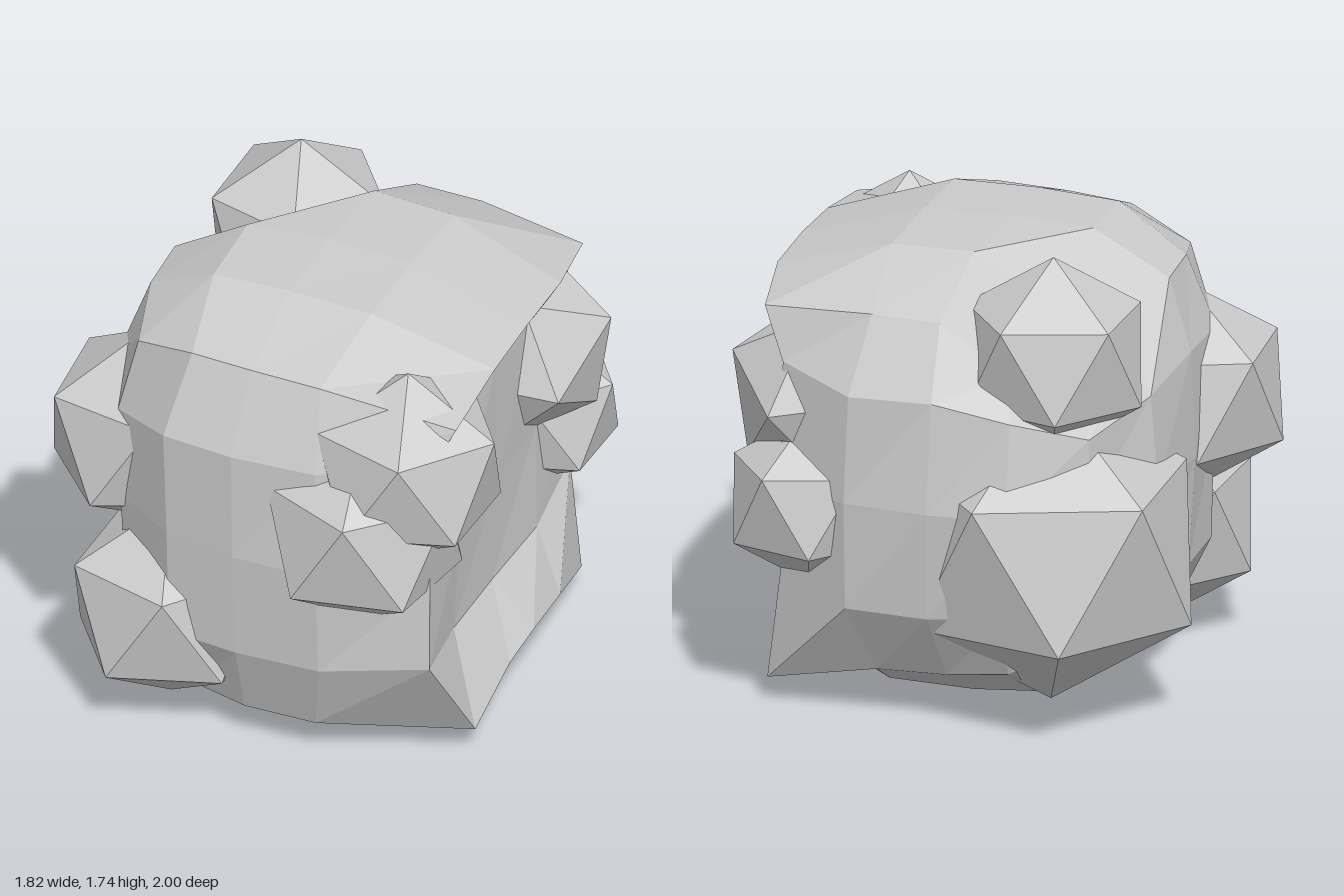
import * as THREE from 'three';

const material = new THREE.MeshStandardMaterial({ color: 0xcccccc, flatShading: true });

// Rounded block: a 4x4x4 box pulled onto a superellipsoid, rounder towards the back right
// (-x, -z), with a hollow +x side whose top and bottom rims stand out
function boulderGeometry() {
  const g = new THREE.BoxGeometry(2, 2, 2, 4, 4, 4);
  const pos = g.attributes.position;
  const narrow = (c) => c * (0.8 + 0.2 * c * c);
  for (let i = 0; i < pos.count; i++) {
    const cx = narrow(pos.getX(i)), cy = pos.getY(i), cz = narrow(pos.getZ(i));
    const power = 3.4 + 0.45 * cx + 0.5 * cz;
    const norm = Math.pow(
      Math.abs(cx) ** power + Math.abs(cy) ** power + Math.abs(cz) ** power, -1 / power);
    let x = cx * norm * (cx > 0 ? 0.78 : 0.71 + 0.05 * Math.max(0, cy));
    let y = 0.85 + cy * norm * 0.85;
    let z = cz * norm * (cz > 0 ? 0.86 : 0.92);
    // sunken top corner at the back
    if (cx < 0 && cz < 0 && cy > 0) y -= cy * cy * Math.min(0.17, cx * cz);
    // bevelled front corner
    if (cx < 0 && cz > 0) {
      x -= 0.04 * cx * cz;
      z += 0.07 * cx * cz;
    }
    // hollow side and its rims
    if (cx > 0.99) {
      const c2 = cz * cz;
      x = cz > 0 ? 0.65 + 0.07 * c2 : 0.65 - 0.04 * c2;
      if (cy === 0.5) y = 1.36 - 0.05 * c2;
      if (Math.abs(cy) > 0.99) {
        x = cz > 0 ? 0.79 : 0.79 - 0.1 * c2;
        y = cy > 0 ? 1.55 - 0.06 * c2 : 0.25 - 0.16 * c2;
        if (cy < 0) z = cz > 0 ? cz * 0.47 : cz * 0.68;
      }
    }
    // slight unevenness
    x += 0.01 * Math.sin(5 * cy + 3 * cz);
    z += 0.01 * Math.sin(4 * cx + 5 * cy);
    pos.setXYZ(i, x, y, z);
  }
  const flat = g.toNonIndexed();
  flat.computeVertexNormals();
  return flat;
}

// Twenty-sided knob standing on one corner; yaw turns its upper ring
function knobGeometry(radius, yaw, tilt = 0) {
  const g = new THREE.IcosahedronGeometry(radius, 0);
  g.rotateX(-Math.atan((1 + Math.sqrt(5)) / 2));
  g.rotateY(yaw);
  g.rotateX(tilt);
  return g;
}

export function createModel() {
  const group = new THREE.Group();
  group.name = 'knobblyRock';

  const add = (name, geometry, x = 0, y = 0, z = 0) => {
    const mesh = new THREE.Mesh(geometry, material);
    mesh.name = name;
    mesh.position.set(x, y, z);
    group.add(mesh);
  };

  add('boulder', boulderGeometry());

  // name, centre, radius, yaw, tilt
  const PI = Math.PI;
  const knobs = [
    ['frontLowerKnob', -0.37, 0.42, 0.57, 0.4, PI - 0.3],
    ['frontRightKnob', -0.56, 0.99, 0.36, 0.395, PI - 0.2],
    ['frontLeftKnob', 0.43, 0.99, 0.655, 0.395, PI - 0.43],
    ['upperLeftKnob', 0.57, 1.24, 0.58, 0.38, PI / 2],
    ['backLeftUpperKnob', 0.53, 1.13, -0.48, 0.365, PI / 2, -0.5],
    ['backLeftLowerKnob', 0.53, 0.775, -0.66, 0.32, PI / 2],
    ['backLowerKnob', -0.33, 0.64, -0.49, 0.585, PI - 0.25],
    ['backUpperKnob', -0.35, 1.37, -0.52, 0.37, PI - 0.29],
  ];
  for (const [name, x, y, z, radius, yaw, tilt] of knobs) {
    add(name, knobGeometry(radius, yaw, tilt), x, y, z);
  }

  return group;
}
